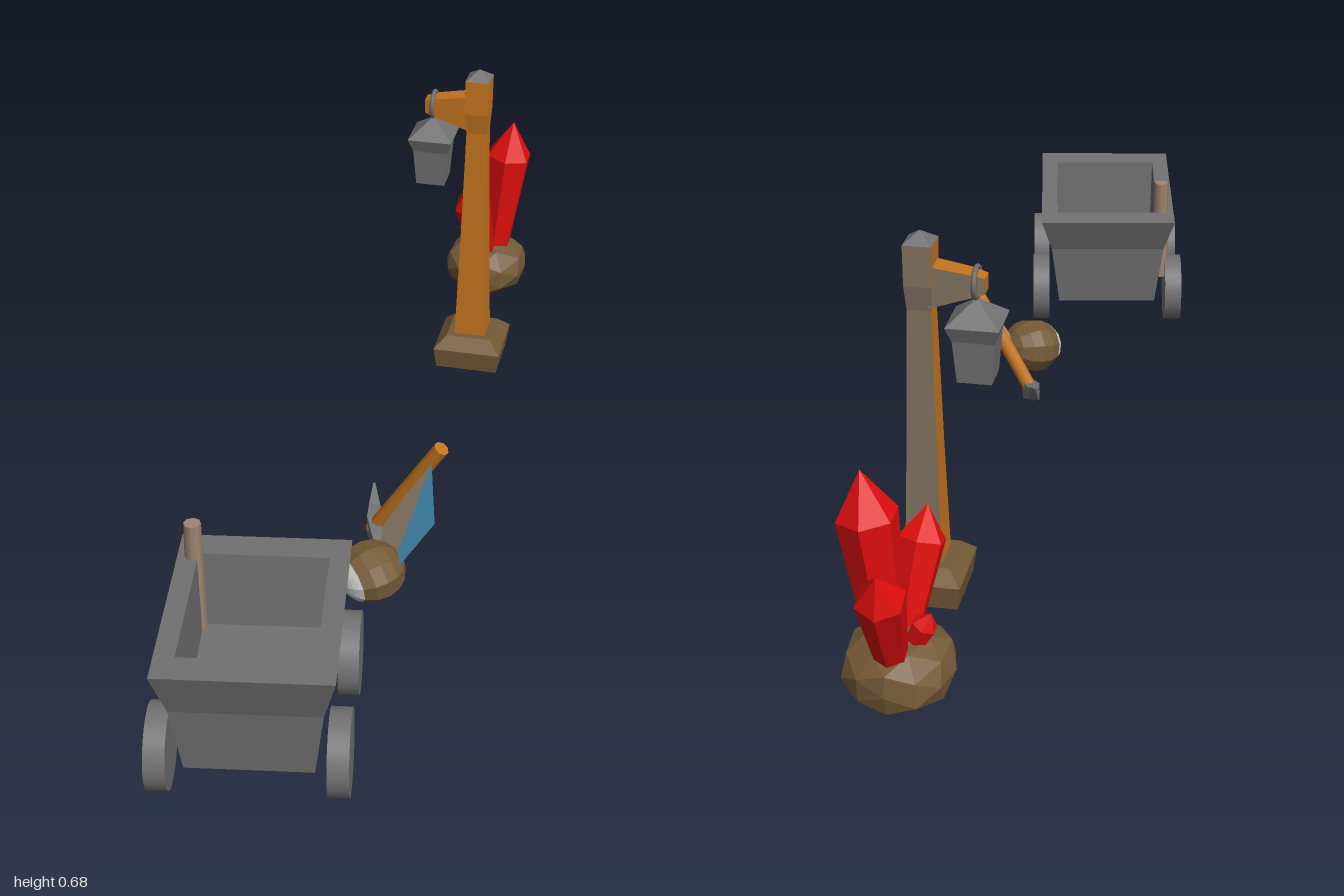
import * as THREE from 'three';

const mat = (name, color, side = THREE.FrontSide) => {
  const m = new THREE.MeshStandardMaterial({ color, side });
  m.name = name;
  return m;
};

// Flat-shaded box loft: each ring is [centreX, y, centreZ, halfX, halfZ]
function loft(rings) {
  const c = rings.map(([x, y, z, a, b]) =>
    [[x - a, y, z + b], [x + a, y, z + b], [x + a, y, z - b], [x - a, y, z - b]]);
  const pos = [], geo = new THREE.BufferGeometry();
  const quad = (p, q, r, s) => pos.push(...p, ...q, ...r, ...p, ...r, ...s);
  for (let k = 0; k < 4; k++) { // sides: front, left, back, right
    const start = pos.length / 3, n = (k + 1) % 4;
    for (let i = 0; i < c.length - 1; i++) quad(c[i][k], c[i][n], c[i + 1][n], c[i + 1][k]);
    geo.addGroup(start, pos.length / 3 - start, k);
  }
  const start = pos.length / 3, t = c[c.length - 1], b = c[0];
  quad(t[0], t[1], t[2], t[3]);
  quad(b[3], b[2], b[1], b[0]);
  geo.addGroup(start, 12, 4);
  geo.setAttribute('position', new THREE.Float32BufferAttribute(pos, 3));
  geo.computeVertexNormals();
  return geo;
}

function flat(geo) {
  const g = geo.index ? geo.toNonIndexed() : geo;
  g.computeVertexNormals();
  return g;
}

function add(parent, name, geo, material, x = 0, y = 0, z = 0) {
  const m = new THREE.Mesh(geo, material);
  m.name = name;
  m.position.set(x, y, z);
  parent.add(m);
  return m;
}

function group(parent, name, x = 0, y = 0, z = 0) {
  const g = new THREE.Group();
  g.name = name;
  g.position.set(x, y, z);
  parent.add(g);
  return g;
}

// Aim a mesh built along +y from point a to point b
function aim(mesh, a, b) {
  const d = b.clone().sub(a).normalize();
  mesh.quaternion.setFromUnitVectors(new THREE.Vector3(0, 1, 0), d);
}

// Lumpy faceted boulder with a flattened base
function boulder(rx, ry, rz, phase) {
  const g = new THREE.IcosahedronGeometry(1, 1), p = g.attributes.position;
  for (let i = 0; i < p.count; i++) {
    const x = p.getX(i), y = p.getY(i), z = p.getZ(i);
    const k = 1 + 0.06 * Math.sin(4 * x + phase) * Math.cos(3 * z + 5 * y);
    p.setXYZ(i, x * k * rx, Math.max(y, -0.85) * k * ry, z * k * rz);
  }
  return flat(g);
}

export function createModel() {
  const root = new THREE.Group();
  root.name = 'miningSet';
  const V = (x, y, z) => new THREE.Vector3(x, y, z);
  const iron = mat('iron grey', 0x727272);
  const orange = mat('orange wood', 0xc4741f);
  const worn = mat('worn wood', 0x81725f);
  const brown = mat('earth brown', 0x745a37);
  const tan = mat('tan wood', 0x9c8570);
  const red = mat('crystal red', 0xe00e0e);
  const blue = mat('sheet blue', 0x52a6d0, THREE.DoubleSide);
  const canvas = mat('sheet canvas', 0xc9b097, THREE.DoubleSide);
  const white = mat('chalk white', 0xcfcdc8);

  // Mine cart
  const cart = group(root, 'mineCart', -0.011, 0, 0.78);
  cart.rotation.y = 0.174;
  const tub = loft([
    [0, 0.056, 0, 0.107, 0.149], [0, 0.19, 0, 0.124, 0.168],
    [0, 0.274, 0, 0.146, 0.199], [0, 0.274, 0, 0.111, 0.143], [0, 0.12, 0, 0.108, 0.14],
  ]);
  const tp = tub.attributes.position;
  for (let i = 0; i < tp.count; i++) // rim rises towards the front
    if (tp.getY(i) > 0.2) tp.setY(i, tp.getY(i) + tp.getZ(i) * 0.043);
  tub.computeVertexNormals();
  add(cart, 'tub', tub, [iron, iron, iron, iron, iron]);
  const wheelGeo = new THREE.CylinderGeometry(0.073, 0.073, 0.036, 24).rotateZ(Math.PI / 2);
  for (const sx of [-1, 1]) for (const sz of [-1, 1])
    add(cart, 'wheel', wheelGeo, iron, sx * 0.147, 0.081, sz * 0.125);
  add(cart, 'brakeLever', new THREE.CylinderGeometry(0.015, 0.018, 0.22, 8), tan, -0.118, 0.226, -0.136);

  // Lamp post
  const lamp = group(root, 'lampPost', 0.107, 0, -0.52);
  add(lamp, 'base', loft([
    [0, 0, 0, 0.066, 0.066], [0, 0.045, 0, 0.072, 0.072], [0, 0.07, 0, 0.048, 0.048],
  ]), [brown, brown, brown, brown, brown]);
  add(lamp, 'post', loft([
    [0, 0.07, 0, 0.033, 0.034], [0, 0.28, 0, 0.027, 0.027], [0, 0.545, 0, 0.021, 0.02],
    [0, 0.59, 0, 0.024, 0.027], [0, 0.662, 0, 0.025, 0.025],
  ]), [orange, orange, worn, orange, orange]);
  add(lamp, 'cap', loft([[0, 0.662, 0, 0.025, 0.025], [0, 0.681, 0, 0.001, 0.001]]),
    [iron, iron, iron, iron, iron]);
  const arm = loft([
    [0.588, 0.015, 0, 0.038, 0.022], [0.594, 0.09, 0, 0.02, 0.018], [0.594, 0.111, 0, 0.014, 0.014],
  ]).rotateZ(Math.PI / 2);
  add(lamp, 'arm', arm, [orange, orange, worn, orange, orange]);
  add(lamp, 'ring', new THREE.TorusGeometry(0.026, 0.005, 6, 16).rotateY(Math.PI / 2),
    iron, -0.094, 0.596, 0);
  add(lamp, 'lantern', loft([
    [0, 0.423, 0, 0.03, 0.03], [0, 0.5, 0, 0.036, 0.036],
    [0, 0.528, 0, 0.046, 0.046], [0, 0.566, 0, 0.002, 0.002],
  ]), [iron, iron, iron, iron, iron], -0.094, 0, 0);

  // Crystal cluster on a boulder
  const cluster = group(root, 'crystalCluster');
  add(cluster, 'boulder', boulder(0.096, 0.066, 0.105, 1), brown, 0.08, 0.058, -0.845);
  const crystals = [
    [V(0.095, 0.08, -0.845), V(0.13, 0.415, -0.855), 0.052],
    [V(0.08, 0.08, -0.88), V(0.075, 0.305, -0.983), 0.042],
    [V(0.08, 0.08, -0.82), V(0.05, 0.3, -0.743), 0.042],
    [V(0.07, 0.07, -0.85), V(0.02, 0.17, -0.86), 0.022],
  ];
  for (const [a, b, r] of crystals) {
    const h = a.distanceTo(b);
    const profile = [[0, 0], [r * 0.62, 0], [r, h * 0.76], [0, h]].map(p => new THREE.Vector2(...p));
    const m = add(cluster, 'crystal', flat(new THREE.LatheGeometry(profile, 6)), red, a.x, a.y, a.z);
    aim(m, a, b);
  }

  // Stone with a chalky face
  const stone = group(root, 'stone', 0.087, 0.057, 0.37);
  const facing = V(-0.75, -0.15, 0.65);
  const shells = [['stoneBody', 0.9, Math.PI - 0.9, brown], ['chalkFace', 0, 0.9, white]];
  for (const [name, start, length, material] of shells) {
    const g = new THREE.SphereGeometry(0.064, 10, 6, 0, Math.PI * 2, start, length);
    const m = add(stone, name, flat(g), material);
    aim(m, V(0, 0, 0), facing);
  }
  stone.scale.y = 0.87;

  // Pickaxe
  const pick = group(root, 'pickaxe');
  const top = V(0.188, 0.255, 0.235), foot = V(0.05, 0.025, 0.2);
  const mid = top.clone().add(foot).multiplyScalar(0.5);
  const handle = add(pick, 'handle',
    new THREE.CylinderGeometry(0.015, 0.015, top.distanceTo(foot), 8), [orange, orange, orange],
    mid.x, mid.y, mid.z);
  aim(handle, foot, top);
  const head = loft([
    [0.036, 0.125, 0.078, 0.002, 0.002], [0.046, 0.165, 0.047, 0.011, 0.012],
    [0.056, 0.2, 0.034, 0.017, 0.02], [0.07, 0.24, 0.026, 0.012, 0.014],
    [0.085, 0.28, 0.018, 0.003, 0.004],
  ]);
  // swap axes so the sections run along z
  const hp = head.attributes.position;
  for (let i = 0; i < hp.count; i++) hp.setXYZ(i, hp.getX(i), hp.getZ(i), hp.getY(i));
  for (let i = 0; i < hp.count; i += 3) { // restore outward winding after the swap
    const a = V(0, 0, 0).fromBufferAttribute(hp, i + 1), b = V(0, 0, 0).fromBufferAttribute(hp, i + 2);
    hp.setXYZ(i + 1, b.x, b.y, b.z);
    hp.setXYZ(i + 2, a.x, a.y, a.z);
  }
  head.computeVertexNormals();
  add(pick, 'head', head, [iron, iron, iron, iron, iron]);

  // Sheet leaning along the handle
  const triangle = (...pts) => {
    const g = new THREE.BufferGeometry().setFromPoints(pts);
    g.computeVertexNormals();
    return g;
  };
  const A = V(0.175, 0.235, 0.26), B = V(0.205, 0.187, 0.375);
  const C = V(0.118, 0.045, 0.378), D = V(0.05, 0.012, 0.195);
  add(pick, 'blueSheet', triangle(A, C, B), blue);
  add(pick, 'canvasSheet', triangle(A, D, C), canvas);
  return root;
}
